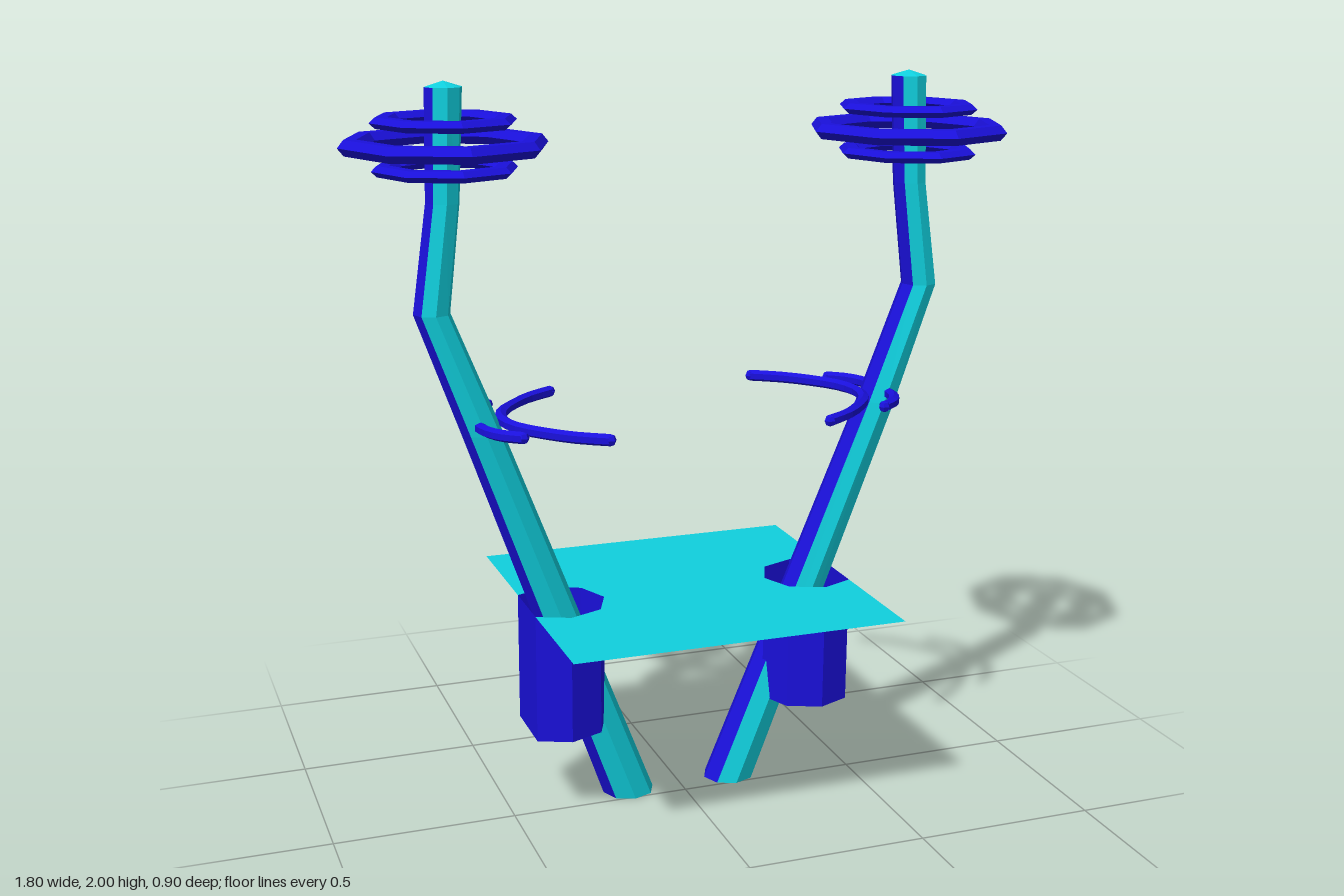
import * as THREE from 'three';

const material = (color, side = THREE.FrontSide) =>
  new THREE.MeshStandardMaterial({ color, side, flatShading: true });
const cyan = material(0x10d0de);
const blue = material(0x1a10dc);
const cyanSheet = material(0x10d0de, THREE.DoubleSide);
const blueSheet = material(0x1a10dc, THREE.DoubleSide);

function addMesh(parent, name, geometry, mat) {
  const mesh = new THREE.Mesh(geometry, mat);
  mesh.name = name;
  parent.add(mesh);
  return mesh;
}

function fromTriangles(points) {
  const geometry = new THREE.BufferGeometry().setFromPoints(points);
  geometry.computeVertexNormals();
  return geometry;
}

// Pole cross-sections from the foot up: y, centre x, centre z, radius x, radius z
const POLE = [
  [0, 0.152, -0.06, 0.073, 0.07],
  [1.1, 0.562, 0.004, 0.055, 0.056],
  [1.42, 0.683, 0.002, 0.048, 0.053],
  [1.7, 0.646, 0.002, 0.044, 0.052],
  [1.985, 0.635, 0.002, 0.048, 0.052],
];

// Eight-sided bent pole; the three facets facing -x are the blue ones
function addPole(parent, side) {
  const rings = POLE.map(([y, x, z, rx, rz]) =>
    Array.from({ length: 8 }, (_, k) => {
      const a = (k * Math.PI) / 4;
      return new THREE.Vector3(side * x + rx * Math.cos(a), y, z + rz * Math.sin(a));
    }));
  const foot = new THREE.Vector3(side * POLE[0][1], 0, POLE[0][2]);
  const tip = new THREE.Vector3(side * 0.635, 2, 0.002);
  const cyanTris = [];
  const blueTris = [];
  for (let k = 0; k < 8; k++) {
    const n = (k + 1) % 8;
    const target = k >= 3 && k <= 5 ? blueTris : cyanTris;
    for (let i = 0; i < rings.length - 1; i++) {
      const lo = rings[i], hi = rings[i + 1];
      target.push(lo[k], hi[k], hi[n], lo[k], hi[n], lo[n]);
    }
    const top = rings[rings.length - 1];
    cyanTris.push(tip, top[n], top[k], foot, rings[0][k], rings[0][n]);
  }
  addMesh(parent, 'pole', fromTriangles(cyanTris), cyan);
  addMesh(parent, 'poleStripe', fromTriangles(blueTris), blue);
}

// Octagonal socket outline, cut flat along the plate edge: x, z
const SOCKET = [
  [0.453, 0.092], [0.365, 0.13], [0.273, 0.092], [0.235, 0],
  [0.273, -0.092], [0.365, -0.13], [0.453, -0.092],
];
const PLATE_Y = 0.608;

// Open socket hanging under the plate, leaning slightly backwards
function addSocket(parent, side) {
  const tris = [];
  SOCKET.forEach(([x, z], i) => {
    const [x2, z2] = SOCKET[(i + 1) % SOCKET.length];
    const a = new THREE.Vector3(side * x, 0.25, z - 0.008);
    const b = new THREE.Vector3(side * x2, 0.25, z2 - 0.008);
    const c = new THREE.Vector3(side * x2, PLATE_Y, z2);
    const d = new THREE.Vector3(side * x, PLATE_Y, z);
    // Keep the outside as the front face on both sides
    if (side > 0) tris.push(a, c, b, a, d, c);
    else tris.push(a, b, c, a, c, d);
  });
  addMesh(parent, 'socket', fromTriangles(tris), blueSheet);
}

// Flat octagonal hoop, a little narrower across than it is deep
function addHoop(parent, side, y, radius, tube, halfHeight) {
  const geometry = new THREE.TorusGeometry(radius, tube, 6, 8);
  geometry.rotateX(Math.PI / 2);
  geometry.scale(0.89, halfHeight / (tube * 0.866), 1);
  geometry.translate(side * 0.635, y, 0);
  addMesh(parent, 'hoop', geometry, blue);
}

// Curved bar from half a path, mirrored front to back
function addBar(parent, name, side, half, radius) {
  const mirrored = half.slice(0, -1).reverse().map(([x, z]) => [x, -z]);
  const points = [...half, ...mirrored].map(([x, z]) => new THREE.Vector3(side * x, 1.125, z));
  const curve = new THREE.CatmullRomCurve3(points);
  addMesh(parent, name, new THREE.TubeGeometry(curve, 16, radius, 6), blueSheet);
  for (const end of [points[0], points[points.length - 1]]) {
    addMesh(parent, name + 'End', new THREE.SphereGeometry(radius, 6, 4), blue).position.copy(end);
  }
}

export function createModel() {
  const model = new THREE.Group();
  model.name = 'polesOnPlate';

  // Thin square plate with a notch for each socket
  const outline = new THREE.Shape();
  outline.moveTo(-0.453, -0.45);
  outline.lineTo(0.453, -0.45);
  [...SOCKET].reverse().forEach(([x, z]) => outline.lineTo(x, z));
  outline.lineTo(0.453, 0.45);
  outline.lineTo(-0.453, 0.45);
  SOCKET.forEach(([x, z]) => outline.lineTo(-x, z));
  outline.closePath();
  const plate = new THREE.ShapeGeometry(outline);
  plate.rotateX(-Math.PI / 2);
  plate.translate(0, PLATE_Y, 0);
  addMesh(model, 'plate', plate, cyanSheet);

  for (const side of [1, -1]) {
    const post = new THREE.Group();
    post.name = side > 0 ? 'leftPost' : 'rightPost';
    addPole(post, side);
    addSocket(post, side);

    // One wide hoop between two small ones
    addHoop(post, side, 1.843, 0.264, 0.036, 0.02);
    addHoop(post, side, 1.901, 0.176, 0.034, 0.014);
    addHoop(post, side, 1.783, 0.176, 0.034, 0.014);

    // Long bar reaching inwards and short bar around the pole
    addBar(post, 'longBar', side,
      [[0.3, 0.283], [0.37, 0.235], [0.43, 0.172], [0.485, 0.09], [0.505, 0]], 0.016);
    addBar(post, 'shortBar', side,
      [[0.5, 0.19], [0.545, 0.15], [0.573, 0.09], [0.578, 0]], 0.016);
    model.add(post);
  }
  return model;
}
